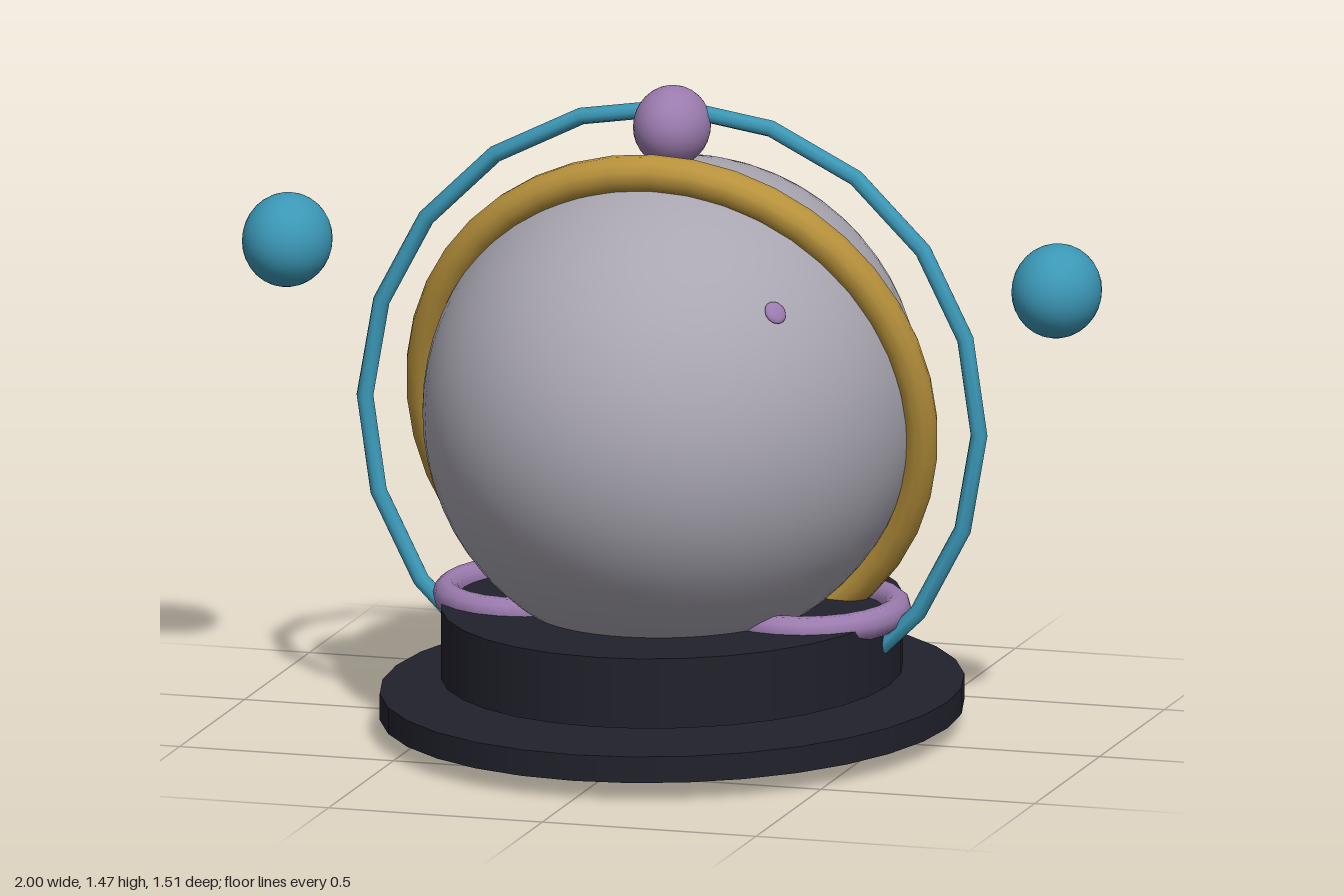
import * as THREE from 'three';

const flat = (name, color) => {
  const m = new THREE.MeshStandardMaterial({ color });
  m.name = name;
  return m;
};

export function createModel() {
  const root = new THREE.Group();
  root.name = 'ringedOrb';

  const grey = flat('paleGrey', 0xa9a6b1);
  const gold = flat('gold', 0xb8923c);
  const teal = flat('teal', 0x3b97b6);
  const purple = flat('mauve', 0x9b7bae);
  const dark = flat('darkNavy', 0x21212c);

  const add = (name, geometry, material) => {
    const mesh = new THREE.Mesh(geometry, material);
    mesh.name = name;
    root.add(mesh);
    return mesh;
  };
  const ellipsoid = (rx, ry, rz, x, y, z, seg = 32) =>
    new THREE.SphereGeometry(1, seg, seg / 2).scale(rx, ry, rz).translate(x, y, z);
  const disc = (rx, rz, y0, y1) =>
    new THREE.CylinderGeometry(1, 1, y1 - y0, 32).scale(rx, 1, rz).translate(0, (y0 + y1) / 2, 0);

  // Oval stepped base
  add('baseDisc', disc(0.645, 0.757, 0.05, 0.11), dark);
  add('baseDrum', disc(0.51, 0.6, 0.14, 0.3), dark);

  // Main body and top knob
  add('body', ellipsoid(0.55, 0.558, 0.65, 0, 0.75, 0, 64), grey);
  add('topKnob', ellipsoid(0.086, 0.091, 0.103, 0, 1.39, 0), purple);

  // Tilted band hugging the body
  add('goldBand', new THREE.TorusGeometry(0.67, 0.047, 12, 40)
    .rotateX(0.27).rotateY(0.05).scale(0.85, 0.89, 1).translate(0, 0.745, 0), gold);

  // Thin outer hoop with visible segments
  add('outerHoop', new THREE.TorusGeometry(0.845, 0.023, 8, 20)
    .rotateX(-0.04).scale(0.85, 0.828, 1).translate(0, 0.726, 0), teal);

  // Side satellites and the rings lying on the drum
  for (const [side, s] of [['left', 1], ['right', -1]]) {
    add(side + 'Satellite', ellipsoid(0.1, 0.106, 0.118, s * 0.9, 1.07, 0), teal);
    add(side + 'FootRing', new THREE.TorusGeometry(0.225, 0.036, 10, 24)
      .rotateX(Math.PI / 2).scale(0.85, 0.95, 1).translate(s * 0.325, 0.301, 0), purple);
  }

  // Small flat stud on the body, facing outward
  const stud = add('stud', ellipsoid(0.027, 0.027, 0.01, 0, 0, 0, 16), purple);
  stud.position.set(0.349, 1.06, 0.354);
  stud.quaternion.setFromUnitVectors(
    new THREE.Vector3(0, 0, 1), new THREE.Vector3(1.157, 1, 0.84).normalize());

  return root;
}
